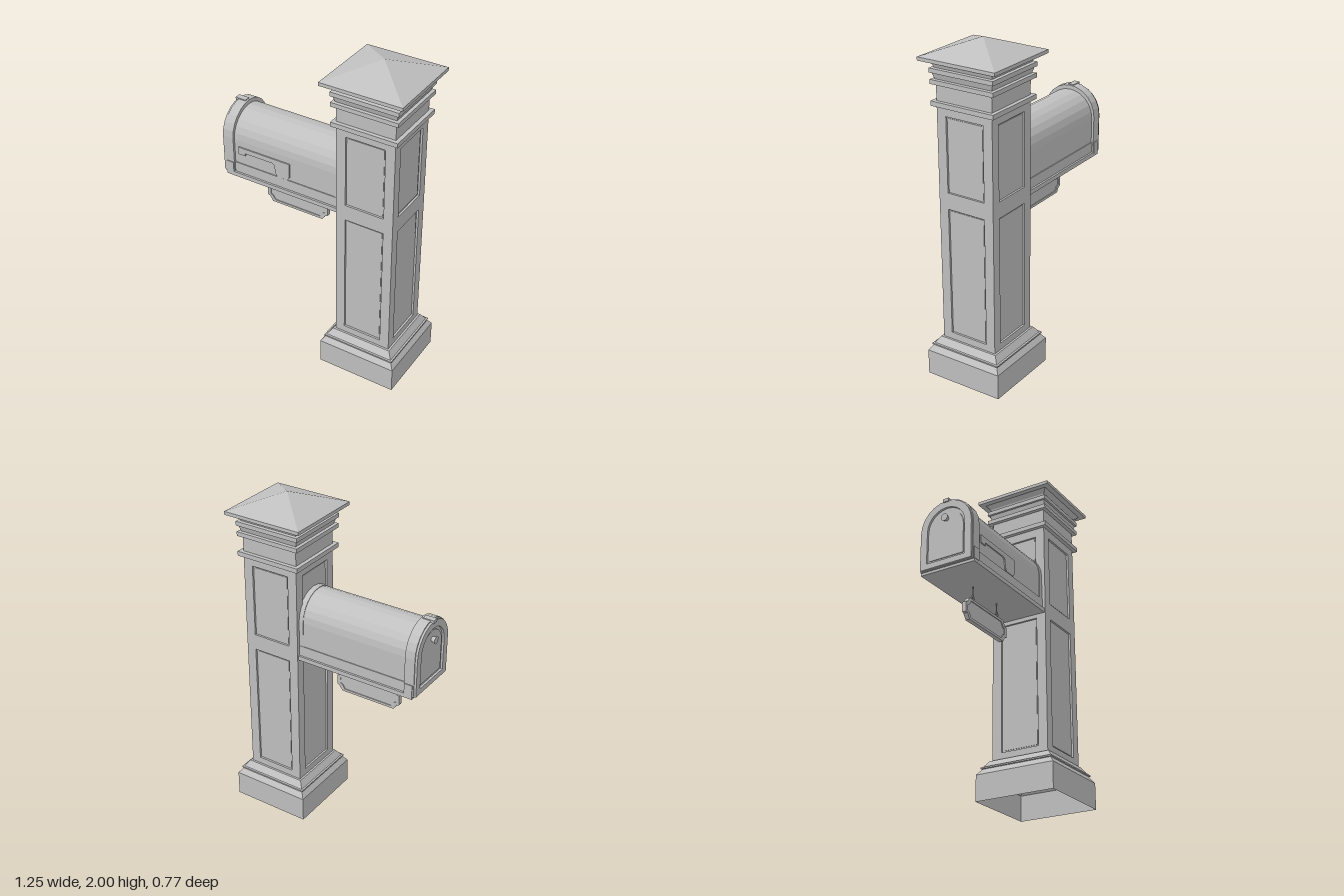
import * as THREE from 'three';

const grey = new THREE.MeshStandardMaterial({ color: 0xc0c0c0, side: THREE.DoubleSide });
grey.name = 'stone grey';

// Faceted mesh with crisp edges
function part(parent, name, geo) {
  const g = geo.index ? geo.toNonIndexed() : geo;
  g.computeVertexNormals();
  const m = new THREE.Mesh(g, grey);
  m.name = name;
  parent.add(m);
  return m;
}

// Box given by its minimum and maximum corners
function box(parent, name, x0, x1, y0, y1, z0, z1) {
  const g = new THREE.BoxGeometry(x1 - x0, y1 - y0, z1 - z0);
  g.translate((x0 + x1) / 2, (y0 + y1) / 2, (z0 + z1) / 2);
  return part(parent, name, g);
}

// Square moulding from [half width, height] pairs
function squareTurned(parent, name, profile) {
  const pts = profile.map(([h, y]) => new THREE.Vector2(h * Math.SQRT2, y));
  return part(parent, name, new THREE.LatheGeometry(pts, 4, Math.PI / 4));
}

const poly = (pts) => new THREE.Shape(pts.map(([x, y]) => new THREE.Vector2(x, y)));
const rect = (x0, x1, y0, y1) => poly([[x0, y0], [x1, y0], [x1, y1], [x0, y1]]);
const extrude = (shape, depth) =>
  new THREE.ExtrudeGeometry(shape, { depth, bevelEnabled: false, curveSegments: 12 });

// Round-topped outline
function arch(r, bottom, spring) {
  const pts = [[-r, bottom], [r, bottom]];
  for (let i = 0; i <= 12; i++) {
    const a = Math.PI * i / 12;
    pts.push([r * Math.cos(a), spring + r * Math.sin(a)]);
  }
  return poly(pts);
}

// Extrude an outline along x, from x0 to x1
function alongX(parent, name, shape, x0, x1) {
  const g = extrude(shape, x1 - x0);
  g.rotateY(-Math.PI / 2);
  g.translate(x1, 0, 0);
  return part(parent, name, g);
}

function makePost() {
  const post = new THREE.Group();
  post.name = 'post';
  // Hollow plinth with a stepped moulding
  squareTurned(post, 'plinth', [
    [0.245, 0], [0.245, 0.153], [0.219, 0.188], [0.227, 0.19],
    [0.227, 0.198], [0.217, 0.2], [0.19, 0.238], [0.176, 0.238]]);
  // Shaft core with a framed, recessed pair of panels on each side
  box(post, 'shaftCore', -0.166, 0.166, 0.2, 1.66, -0.166, 0.166);
  const frame = rect(-0.178, 0.178, 0.22, 1.66);
  frame.holes.push(rect(-0.12, 0.12, 0.28, 1.053), rect(-0.12, 0.12, 1.15, 1.588));
  for (let i = 0; i < 4; i++) {
    const side = new THREE.Group();
    side.name = 'panelSide';
    side.rotation.y = i * Math.PI / 2;
    post.add(side);
    const g = extrude(frame, 0.013);
    g.translate(0, 0, 0.165);
    part(side, 'panelFrame', g);
    for (const [y0, y1] of [[0.29, 1.043], [1.16, 1.578]])
      box(side, 'panel', -0.11, 0.11, y0, y1, 0.165, 0.169);
  }
  // Capital bands and pyramid cap
  squareTurned(post, 'capital', [
    [0.176, 1.64], [0.201, 1.64], [0.201, 1.667], [0.178, 1.667], [0.178, 1.76],
    [0.201, 1.76], [0.201, 1.785], [0.183, 1.787], [0.193, 1.82], [0.203, 1.822],
    [0.203, 1.847], [0.184, 1.849], [0.19, 1.866], [0.212, 1.89]]);
  squareTurned(post, 'cap', [[0, 1.89], [0.245, 1.89], [0.245, 1.91], [0, 2]]);
  return post;
}

function makeMailbox() {
  const mailbox = new THREE.Group();
  mailbox.name = 'mailbox';
  alongX(mailbox, 'body', arch(0.155, 1.09, 1.315), -0.9, -0.17);
  alongX(mailbox, 'rearBand', arch(0.158, 1.1, 1.315), -0.205, -0.17);
  box(mailbox, 'basePlate', -0.92, -0.17, 1.077, 1.103, -0.172, 0.172);
  box(mailbox, 'skirt', -0.88, -0.17, 1.1, 1.165, -0.16, 0.16);

  // Door: collar, raised frame, recessed panel
  alongX(mailbox, 'collar', arch(0.169, 1.092, 1.325), -0.928, -0.868);
  const frame = arch(0.164, 1.095, 1.322);
  frame.holes.push(arch(0.122, 1.128, 1.322));
  alongX(mailbox, 'doorFrame', frame, -0.941, -0.925);
  alongX(mailbox, 'doorPanel', arch(0.108, 1.142, 1.318), -0.933, -0.925);

  // Knob and top latch
  const knob = new THREE.CylinderGeometry(0.022, 0.012, 0.028, 12);
  knob.rotateZ(Math.PI / 2);
  knob.translate(-0.945, 1.375, 0);
  part(mailbox, 'knob', knob);
  box(mailbox, 'latch', -0.948, -0.88, 1.478, 1.497, -0.018, 0.018);

  // Hinge blocks at the bottom of the door
  for (const s of [-1, 1]) {
    const hinge = box(mailbox, 'hinge', -0.92, -0.872, 1.095, 1.165, -0.006, 0.006);
    hinge.position.z = s * 0.168;
  }

  // Signal flag
  const flag = extrude(poly([
    [-0.839, 1.228], [-0.794, 1.228], [-0.794, 1.245], [-0.61, 1.245], [-0.595, 1.235],
    [-0.588, 1.185], [-0.575, 1.167], [-0.51, 1.167], [-0.495, 1.185],
    [-0.493, 1.275], [-0.839, 1.275]]), 0.008);
  flag.translate(0, 0, 0.154);
  part(mailbox, 'flag', flag);
  return mailbox;
}

// Plaque outline with notched corners
function plaque(w, h, c) {
  return poly([
    [-w, -h + c], [-w + c * 0.4, -h + c * 0.9], [-w + c, -h], [w - c, -h],
    [w - c * 0.4, -h + c * 0.9], [w, -h + c], [w, h - c], [w - c * 0.4, h - c * 0.9],
    [w - c, h], [-w + c, h], [-w + c * 0.4, h - c * 0.9], [-w, h - c]]);
}

function makeSign() {
  const sign = new THREE.Group();
  sign.name = 'hangingSign';
  sign.position.set(-0.545, 0.922, 0);
  const frame = plaque(0.207, 0.065, 0.035);
  frame.holes.push(plaque(0.187, 0.05, 0.032));
  part(sign, 'signFrame', extrude(frame, 0.026).translate(0, 0, -0.013));
  part(sign, 'signPanel', extrude(plaque(0.19, 0.053, 0.032), 0.016).translate(0, 0, -0.008));
  // Hooks up to the base plate
  for (const x of [-0.123, 0.123]) {
    const rod = new THREE.CylinderGeometry(0.003, 0.003, 0.07, 6);
    part(sign, 'hookRod', rod.translate(x, 0.124, 0));
    const ring = new THREE.TorusGeometry(0.009, 0.003, 6, 12);
    part(sign, 'hookRing', ring.translate(x, 0.094, 0));
    const eye = new THREE.TorusGeometry(0.009, 0.003, 6, 12);
    part(sign, 'hookEye', eye.rotateY(Math.PI / 2).translate(x, 0.078, 0));
  }
  return sign;
}

export function createModel() {
  const model = new THREE.Group();
  model.name = 'mailboxPost';
  const turned = new THREE.Group();
  turned.name = 'assembly';
  turned.position.set(0.315, 0, -0.075);
  turned.rotation.y = 0.322;
  turned.add(makePost(), makeMailbox(), makeSign());
  model.add(turned);
  return model;
}
